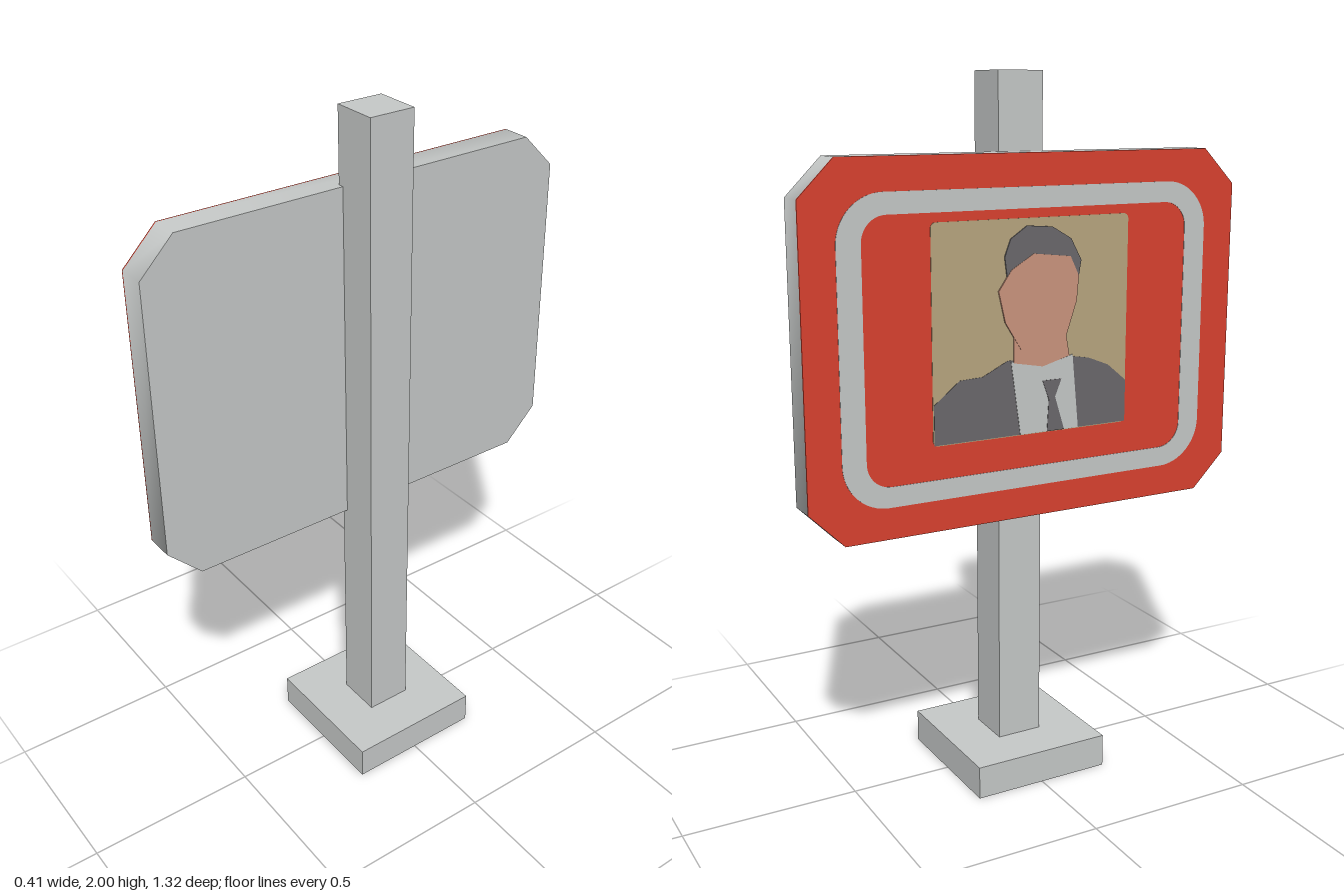
import * as THREE from 'three';
import { toCreasedNormals } from 'three/addons/utils/BufferGeometryUtils.js';

const mat = (name, color) => new THREE.MeshStandardMaterial({ name, color });

// Outlines are drawn as (z, y) seen from the painted side
const polygon = (points) => new THREE.Shape(points.map(([z, y]) => new THREE.Vector2(z, y)));

function roundedRect(hw, hh, r, cy) {
  const s = new THREE.Shape();
  s.absarc(hw - r, cy + hh - r, r, 0, Math.PI / 2);
  s.absarc(-hw + r, cy + hh - r, r, Math.PI / 2, Math.PI);
  s.absarc(-hw + r, cy - hh + r, r, Math.PI, Math.PI * 1.5);
  s.absarc(hw - r, cy - hh + r, r, Math.PI * 1.5, Math.PI * 2);
  s.closePath();
  return s;
}

export function createModel() {
  const grey = mat('metal grey', 0xc6c9c8);
  const red = mat('sign red', 0xda4230);
  const tan = mat('backdrop tan', 0xb8a680);
  const skin = mat('skin', 0xcc957e);
  const dark = mat('charcoal', 0x6b696c);

  const model = new THREE.Group();
  model.name = 'signpost';

  const box = (name, w, h, y) => {
    const mesh = new THREE.Mesh(new THREE.BoxGeometry(w, h, w), grey);
    mesh.name = name;
    mesh.position.y = y + h / 2;
    model.add(mesh);
  };
  box('base', 0.412, 0.095, 0);
  box('post', 0.135, 1.905, 0.095);

  // Extrude an outline from x towards -x
  const slab = (name, shape, material, x, depth) => {
    let geo = new THREE.ExtrudeGeometry(shape, { depth, bevelEnabled: false, curveSegments: 8 });
    geo.rotateY(-Math.PI / 2);
    geo = toCreasedNormals(geo, 0.9);
    const mesh = new THREE.Mesh(geo, material);
    mesh.name = name;
    mesh.position.x = x;
    model.add(mesh);
  };

  // Board with clipped corners
  const W = 0.66, T = 1.79, B = 0.79, c = 0.1;
  const board = polygon([
    [-W + c, B], [W - c, B], [W, B + c], [W, T - c],
    [W - c, T], [-W + c, T], [-W, T - c], [-W, B + c],
  ]);
  slab('board', board, grey, -0.05, 0.082);
  slab('redFace', board, red, -0.132, 0.004);

  // Painted layers, each slightly prouder than the last
  const layer = (name, shape, material, level) => slab(name, shape, material, -0.135, 0.001 + level * 0.0012);

  const ring = roundedRect(0.563, 0.412, 0.13, 1.29);
  ring.holes.push(roundedRect(0.495, 0.355, 0.07, 1.29));
  layer('borderStripe', ring, grey, 1);

  layer('portraitBackdrop', roundedRect(0.303, 0.296, 0.015, 1.324), tan, 1);
  layer('jacket', polygon([
    [-0.3, 1.03], [0.303, 1.03], [0.303, 1.15], [0.243, 1.2], [0.18, 1.225],
    [0.117, 1.236], [-0.078, 1.24], [-0.155, 1.203], [-0.223, 1.2], [-0.3, 1.14],
  ]), dark, 2);
  layer('shirt', polygon([
    [-0.039, 1.03], [0.146, 1.03], [0.126, 1.24], [0.03, 1.215], [-0.068, 1.236],
  ]), grey, 3);
  layer('tie', polygon([
    [0.045, 1.03], [0.1, 1.03], [0.07, 1.126], [0.09, 1.175], [0.03, 1.175], [0.05, 1.12],
  ]), dark, 4);
  layer('neck', polygon([
    [-0.06, 1.232], [0.03, 1.215], [0.115, 1.238], [0.1, 1.32], [-0.06, 1.32],
  ]), skin, 4);
  layer('hair', polygon([
    [-0.08, 1.46], [0.136, 1.42], [0.15, 1.5], [0.117, 1.56], [0.058, 1.594],
    [-0.02, 1.6], [-0.07, 1.567], [-0.088, 1.52],
  ]), dark, 4);
  layer('face', polygon([
    [-0.039, 1.268], [0.039, 1.25], [0.097, 1.275], [0.136, 1.389], [0.142, 1.457],
    [0.115, 1.512], [0.0, 1.525], [-0.068, 1.485], [-0.107, 1.43], [-0.087, 1.345],
  ]), skin, 5);

  // The whole sign stands very slightly turned
  model.rotation.y = 0.006;
  return model;
}
